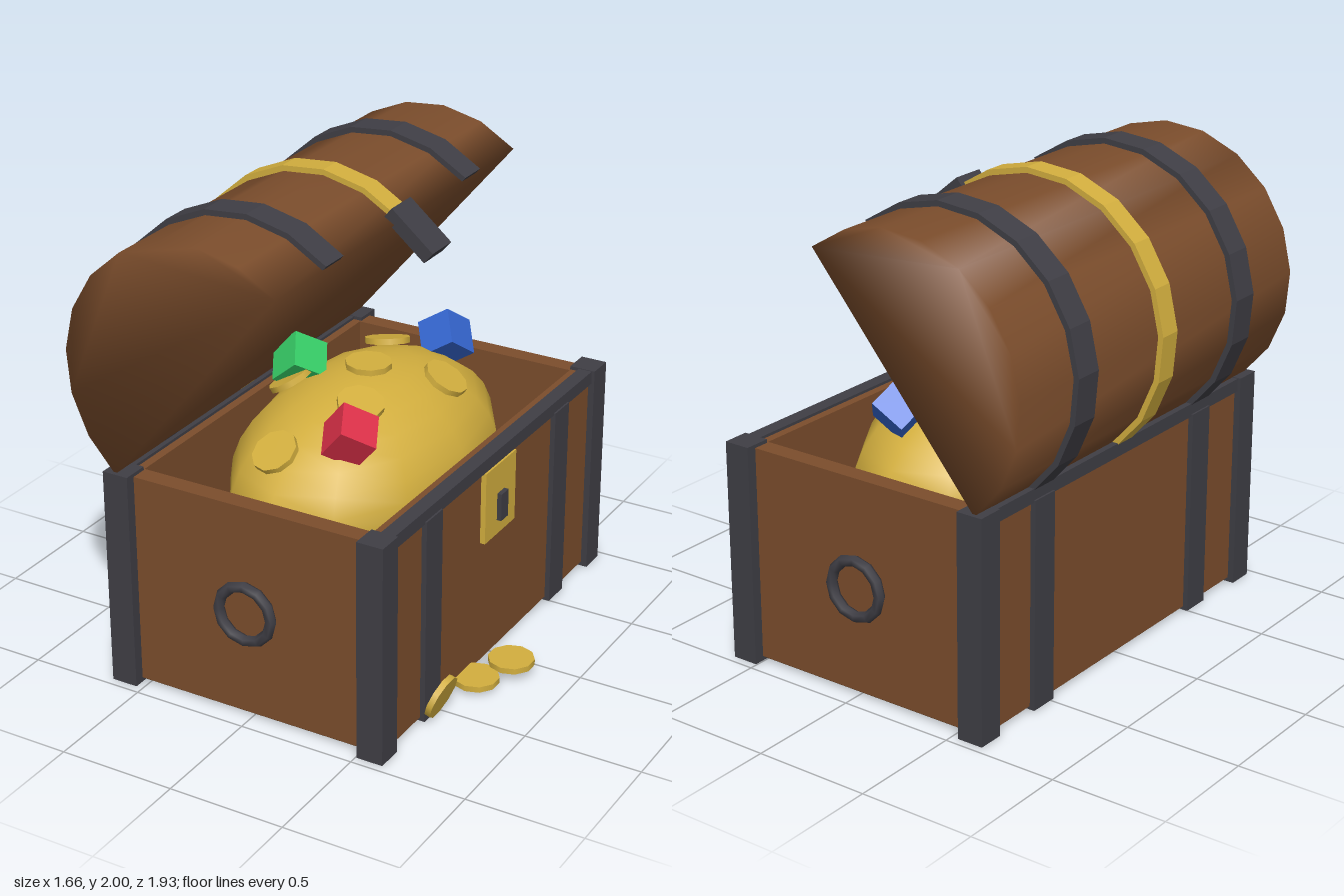
import * as THREE from 'three';
import { mergeVertices } from 'three/addons/utils/BufferGeometryUtils.js';

const mat = (name, color) => Object.assign(new THREE.MeshStandardMaterial({ color }), { name });

export function createModel() {
  const wood = mat('wood', 0x7b4d2c);
  const darkWood = mat('darkWood', 0x4e341e);
  const iron = mat('iron', 0x3f3e45);
  const gold = mat('gold', 0xd2ae3e);
  const red = mat('redGem', 0xdc3048);
  const green = mat('greenGem', 0x36cc66);
  const blue = mat('blueGem', 0x3566d0);

  const model = new THREE.Group();
  model.name = 'treasureChest';
  const CX = -0.0125; // middle of the chest body

  const add = (name, geometry, material, x = 0, y = 0, z = 0) => {
    const mesh = new THREE.Mesh(geometry, material);
    mesh.name = name;
    mesh.position.set(x, y, z);
    model.add(mesh);
    return mesh;
  };
  // box given by its centre x/z, its bottom and top, and its widths
  const box = (name, material, x, z, w, d, y0, y1) =>
    add(name, new THREE.BoxGeometry(w, y1 - y0, d), material, x, (y0 + y1) / 2, z);

  // Body: floor, walls, posts, straps and rims
  box('floor', darkWood, CX, 0, 1.2, 1.83, 0.015, 0.095);
  for (const s of [-1, 1]) {
    box('sideWall', wood, CX + s * 0.5625, 0, 0.085, 1.84, 0.02, 0.935);
    box('endWall', wood, CX, s * 0.88, 1.04, 0.08, 0.02, 0.935);
    box('rimTrim', iron, CX + s * 0.588, 0, 0.062, 1.75, 0.89, 0.947);
    box('bottomStrap', iron, CX, s * 0.553, 1.25, 0.128, 0.005, 0.03);
    for (const t of [-1, 1]) {
      box('cornerPost', iron, CX + s * 0.575, t * 0.907, 0.115, 0.115, 0, 0.95);
      box('bodyStrap', iron, CX + s * 0.607, t * 0.553, 0.04, 0.128, 0.005, 0.9);
    }
    add('ringHandle', new THREE.TorusGeometry(0.12, 0.024, 6, 12), iron, CX, 0.477, s * 0.94);
  }

  // Lock
  box('lockPlate', gold, 0.601, 0, 0.028, 0.26, 0.575, 0.89);
  box('keyhole', iron, 0.62, 0, 0.03, 0.06, 0.64, 0.76);

  // Open lid: tilted half drum
  const TILT = THREE.MathUtils.degToRad(50);
  const LX = -0.22, LY = 1.39;
  const arc = (r) => Array.from({ length: 11 }, (_, i) => {
    const a = TILT + (i / 10) * Math.PI;
    return new THREE.Vector2(r * Math.cos(a), r * Math.sin(a));
  });
  const extrude = (points, depth) => new THREE.ExtrudeGeometry(new THREE.Shape(points),
    { depth, bevelEnabled: false }).translate(0, 0, -depth / 2);
  const softened = (geometry) => {
    geometry.deleteAttribute('normal');
    geometry.deleteAttribute('uv');
    const merged = mergeVertices(geometry);
    merged.computeVertexNormals();
    return merged;
  };
  add('lid', softened(extrude(arc(0.588), 1.89)), wood, LX, LY, 0);
  const band = (name, material, z, width) =>
    add(name, extrude([...arc(0.612), ...arc(0.57).reverse()], width), material, LX, LY, z);
  band('lidStrap', iron, 0.55, 0.128);
  band('lidStrap', iron, -0.55, 0.128);
  band('goldLidBand', gold, 0, 0.1);
  const hasp = add('hasp', new THREE.BoxGeometry(0.24, 0.06, 0.15), iron, 0.22, 1.807, 0);
  hasp.rotation.z = TILT - Math.PI / 2;

  // Heap of gold
  const heap = { x: 0.482, y: 0.436, z: 0.77, base: 0.73 };
  const heapGeo = new THREE.SphereGeometry(1, 12, 16).scale(heap.x, heap.y, heap.z);
  add('goldHeap', heapGeo, gold, CX, heap.base, 0);

  // Coins lying on the heap, tilted to its slope
  const coinGeo = new THREE.CylinderGeometry(0.097, 0.097, 0.025, 10);
  const up = new THREE.Vector3(0, 1, 0);
  const heapCoins = [[0, 1.182, 0], [-0.075, 1.02, 0.6], [0.27, 1.115, -0.16],
    [0.12, 1.14, 0.27], [-0.28, 1.11, 0.15], [-0.1, 1.14, -0.33]];
  for (const [x, y, z] of heapCoins) {
    const normal = new THREE.Vector3((x - CX) / heap.x ** 2, (y - heap.base) / heap.y ** 2, z / heap.z ** 2);
    add('heapCoin', coinGeo, gold, x, y, z).quaternion.setFromUnitVectors(up, normal.normalize());
  }

  // Spilled coins beside the chest
  add('spilledCoin', coinGeo, gold, 0.733, 0.057, 0.1);
  add('spilledCoin', coinGeo, gold, 0.655, 0.033, 0.26);
  add('leaningCoin', coinGeo, gold, 0.65, 0.1, 0.55).rotation.z = -1.92 + Math.PI;

  // Cut gems
  const gemGeo = new THREE.BoxGeometry(0.158, 0.158, 0.158);
  const gem = (name, material, position, rotation) =>
    add(name, gemGeo, material, ...position).rotation.set(...rotation);
  gem('redGem', red, [0.18, 1.093, 0.455], [0.5, 0.4, 0.8]);
  gem('greenGem', green, [-0.285, 1.155, 0.07], [0.7, 0.4, 0.6]);
  gem('blueGem', blue, [0.055, 1.095, -0.56], [0.8, 0.5, 0.3]);

  return model;
}
